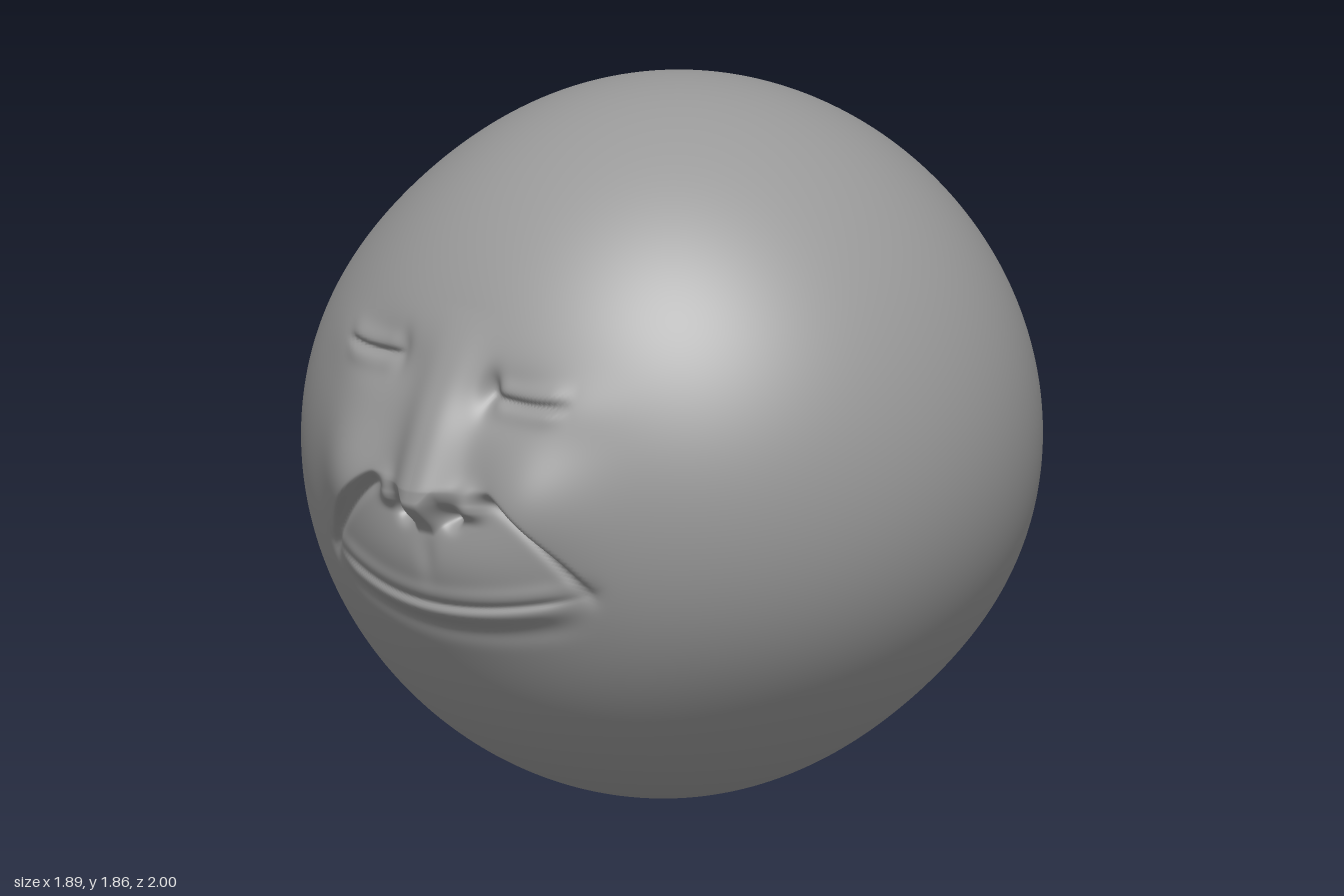
import * as THREE from 'three';
import { mergeVertices } from 'three/addons/utils/BufferGeometryUtils.js';

const SEGMENTS = 280, RINGS = 220;
const { smoothstep, clamp } = THREE.MathUtils;
const bump = (dx, dy, rx, ry) => Math.exp(-((dx / rx) ** 2) - (dy / ry) ** 2);
const ridge = (d, w) => Math.exp(-((d / w) ** 2));

// Nose: a ridge widening to the tip, with wings, nostrils and a low middle
function nose(x, y) {
  const ax = Math.abs(x);
  const t = clamp((1.42 - y) / 0.44, 0, 1);
  const lift = 0.035 * smoothstep(ax, 0.02, 0.06);
  const under = smoothstep(y, 0.85 + lift, 0.95 + lift);
  const width = 0.075 + 0.022 * t;
  let d = 0.09 * t ** 1.3 * under * Math.exp(-(Math.abs(x / width) ** 2.4));
  d += 0.032 * bump(ax - 0.135, y - 0.945, 0.035, 0.045) * smoothstep(y, 0.885, 0.93);
  d -= 0.05 * bump(ax - 0.075, y - 0.905, 0.026, 0.026);
  return d;
}

// Cheeks end at the smile fold; the muzzle fills the area inside it
function cheeks(x, y) {
  const ax = Math.abs(x);
  const t = clamp((ax - 0.19) / 0.24, 0, 1);
  const fold = 0.97 - 0.235 * t ** 1.35;
  const outside = Math.max(smoothstep(y - fold, -0.02, 0.024), smoothstep(ax, 0.4, 0.47));
  let d = 0.062 * bump(ax - 0.29, y - 0.95, 0.14, 0.17) * outside;
  d -= 0.014 * ridge(y - fold + 0.012, 0.024) * smoothstep(ax, 0.16, 0.22) * smoothstep(-ax, -0.45, -0.38);
  d += 0.042 * bump(x, y - 0.76, 0.28, 0.16);
  return d;
}

// Wide closed smile with thin, softly rolled lips
function mouth(x, y) {
  const line = 0.668 + 0.4 * x * x - 0.02 * x;
  const span = smoothstep(-Math.abs(x), -0.44, -0.3);
  const thick = 0.3 + 0.7 * (1 - (x / 0.45) ** 2);
  let d = 0.008 * ridge(y - line - 0.025, 0.024);
  d -= 0.008 * ridge(y - line, 0.01);
  d += 0.022 * thick * ridge(y - line + 0.026, 0.026);
  d -= 0.009 * thick * ridge(y - line + 0.075, 0.03);
  // groove under the nose and dimples at the mouth corners
  return d * span - 0.008 * bump(x, y - 0.8, 0.03, 0.06)
    - 0.008 * bump(Math.abs(x) - 0.42, y - 0.735, 0.03, 0.035);
}

// Closed eye: socket deepening toward the nose, fine lid crease, soft lids
function eye(x, y, cx, cy, pit) {
  const u = x - cx;
  const line = cy + 0.7 * u * u;
  const out = u * Math.sign(cx);
  const span = smoothstep(-Math.abs(u), -0.13, -0.06);
  let d = (0.2 * out - 0.012) * bump(u, y - cy, 0.14, 0.07);
  d += span * (0.01 * ridge(y - line - 0.026, 0.024) + 0.006 * ridge(y - line + 0.026, 0.022));
  d -= span * 0.017 * ridge(y - line, 0.01);
  return d - pit * bump(out + 0.115, y - cy - 0.02, 0.025, 0.045);
}

function createHead() {
  // Sphere with its pole at the front, rings packed closely around the face
  const geo = new THREE.SphereGeometry(1, SEGMENTS, RINGS);
  const pos = geo.attributes.position;
  for (let i = 0; i < pos.count; i++) {
    const column = i % (SEGMENTS + 1);
    const ring = (i - column) / (SEGMENTS + 1) / RINGS;
    const theta = Math.PI * (0.25 * ring + 0.75 * ring ** 3);
    const phi = (column % SEGMENTS) / SEGMENTS * Math.PI * 2;
    const nx = Math.sin(theta) * Math.cos(phi);
    const ny = Math.sin(theta) * Math.sin(phi);
    const nz = Math.cos(theta);
    // Slightly flattened upper right and lower left sides
    const k = 1 - 0.06 * nx * nx * ny * ny
      - 0.016 * bump(nx + 0.65, ny - 0.72, 0.35, 0.35)
      - 0.02 * bump(nx - 0.62, ny + 0.7, 0.35, 0.35);
    const x = 0.945 * k * nx;
    const y = 0.932 + 0.932 * k * ny;
    let z = -0.04 + (nz > 0 ? 0.94 : 0.96) * nz;
    if (nz > 0) {
      const face = nose(x, y) + cheeks(x, y) + mouth(x, y)
        + eye(x, y, -0.3, 1.265, 0.01) + eye(x, y, 0.245, 1.21, 0.03);
      z += face * smoothstep(nz, 0.2, 0.6);
    }
    pos.setXYZ(i, x, y, z);
  }
  // Weld the seam and poles so the shading is continuous
  geo.deleteAttribute('uv');
  geo.deleteAttribute('normal');
  const welded = mergeVertices(geo, 1e-5);
  welded.computeVertexNormals();
  return welded;
}

export function createModel() {
  const group = new THREE.Group();
  group.name = 'roundHead';
  const head = new THREE.Mesh(createHead(), new THREE.MeshStandardMaterial({ color: 0x999999 }));
  head.name = 'headWithFace';
  group.add(head);
  return group;
}
